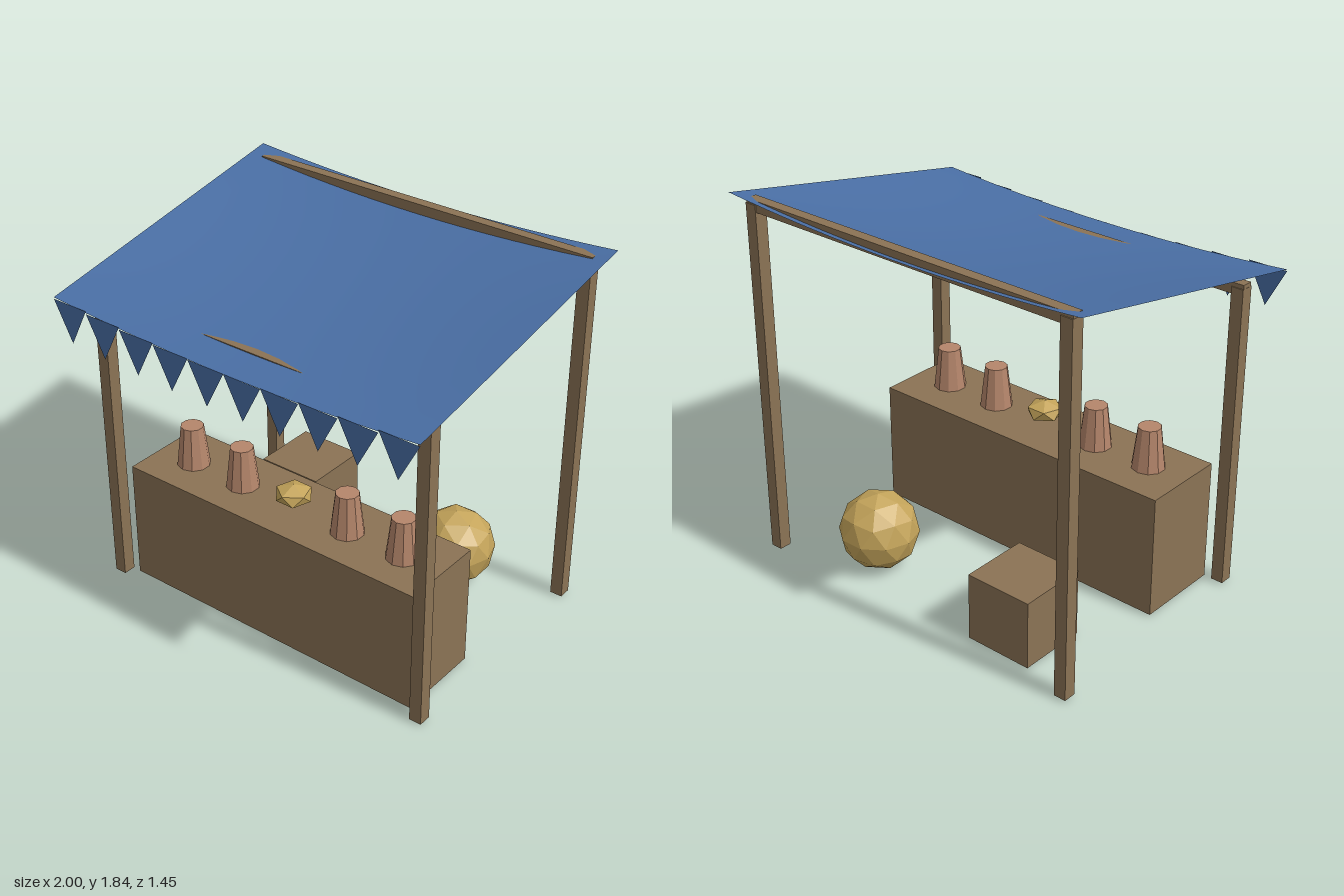
import * as THREE from 'three';

const mat = (color, extra = {}) => new THREE.MeshStandardMaterial({ color, ...extra });
const wood = mat(0x8b7355, { flatShading: true });
const clay = mat(0xb5866b, { flatShading: true });
const straw = mat(0xc4a45a, { flatShading: true });
const cloth = mat(0x4a6fa5, { side: THREE.DoubleSide });

const HALF_DEPTH = 0.724;

// Height of the sagging cloth at any point
function clothHeight(x, z) {
  const t = z / HALF_DEPTH;
  const sag = (1 - x * x) * (0.043 + 0.037 * (1 - t * t));
  return 1.7075 - 0.1375 * t - sag;
}

export function createModel() {
  const group = new THREE.Group();

  function add(name, geometry, material, x = 0, y = 0, z = 0) {
    const mesh = new THREE.Mesh(geometry, material);
    mesh.name = name;
    mesh.position.set(x, y, z);
    group.add(mesh);
    return mesh;
  }

  // Box given by its centre in x and z and its bottom and top heights
  const box = (name, w, d, x, z, y0, y1) =>
    add(name, new THREE.BoxGeometry(w, y1 - y0, d), wood, x, (y0 + y1) / 2, z);

  // Icosphere with a corner at the top
  const ball = (name, r, detail, x, y, z) =>
    add(name, new THREE.IcosahedronGeometry(r, detail)
      .rotateX(-Math.atan((1 + Math.sqrt(5)) / 2)), straw, x, y, z);

  // Posts and the cross beams they carry
  for (const [side, z, top] of [['front', 0.519, 1.55], ['back', -0.657, 1.825]]) {
    for (const x of [-0.9, 0.9]) box(side + 'Post', 0.062, 0.064, x, z, 0.01, top - 0.02);
    box(side + 'Beam', 1.86, 0.054, 0, z, top - 0.055, top);
  }

  // Counter and storage crate
  box('counter', 1.655, 0.436, 0, 0.272, 0.01, 0.625);
  box('crate', 0.345, 0.345, -0.49, -0.449, 0.01, 0.35);

  // Ten-sided cups on the counter
  for (const x of [-0.62, -0.31, 0.31, 0.62]) {
    add('cup', new THREE.CylinderGeometry(0.056, 0.081, 0.21, 10), clay, x, 0.73, 0.279);
  }

  // Flattened lump on the counter and round bale behind it
  ball('lump', 0.094, 0, 0, 0.7, 0.279).scale.y = 0.56;
  ball('bale', 0.196, 1, 0.42, 0.198, -0.446);

  // Sagging cloth roof
  const roof = new THREE.PlaneGeometry(2, HALF_DEPTH * 2, 16, 12).rotateX(-Math.PI / 2);
  const p = roof.attributes.position;
  for (let i = 0; i < p.count; i++) p.setY(i, clothHeight(p.getX(i), p.getZ(i)));
  roof.computeVertexNormals();
  add('canopy', roof, cloth);

  // Row of pennants along the front edge
  const pennant = new THREE.ShapeGeometry(new THREE.Shape([
    new THREE.Vector2(-0.1, 0), new THREE.Vector2(0, -0.192), new THREE.Vector2(0.1, 0),
  ]));
  for (let i = 0; i < 10; i++) {
    const x = -0.9 + i * 0.2;
    add('pennant', pennant, cloth, x, clothHeight(x, HALF_DEPTH), HALF_DEPTH);
  }

  return group;
}
